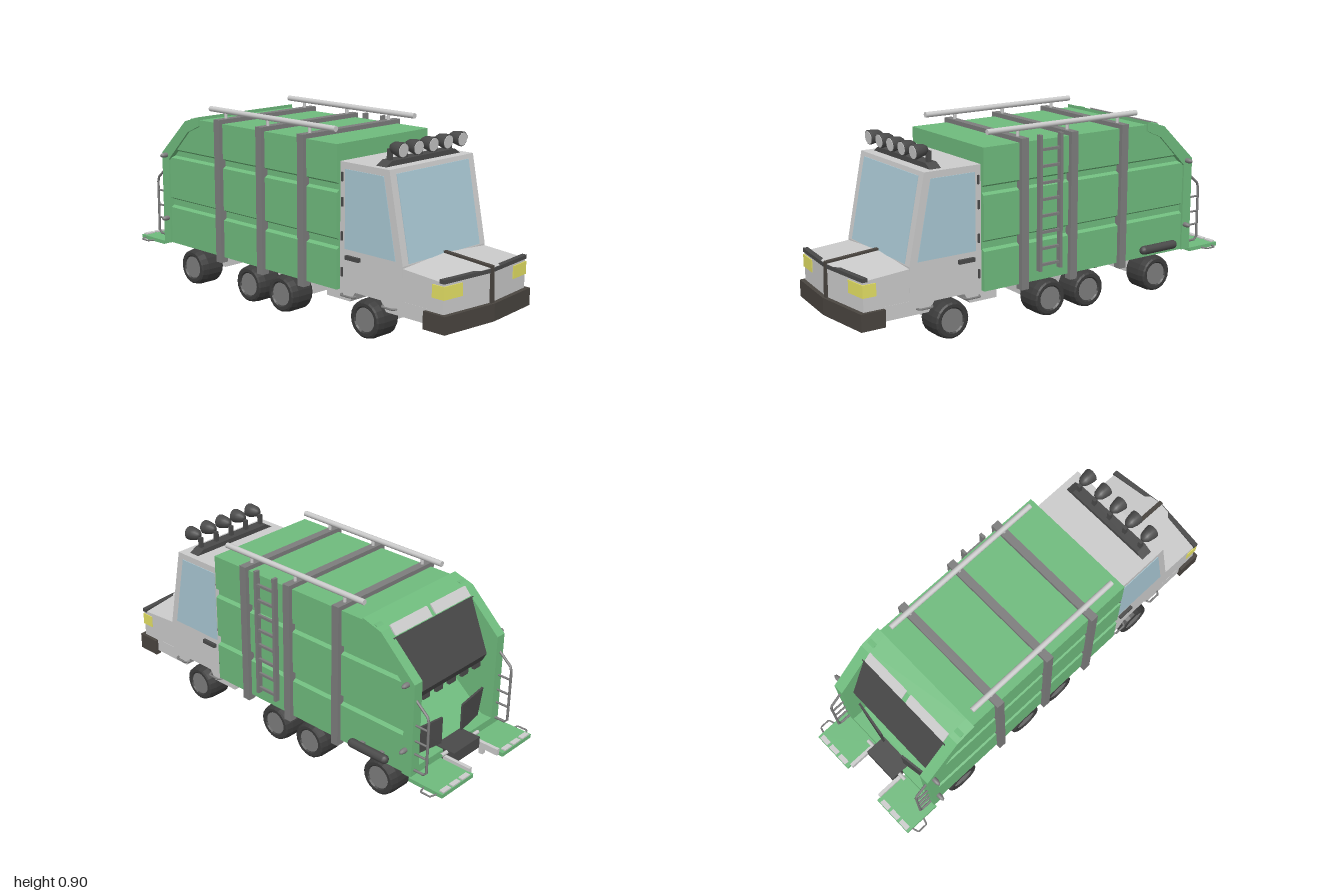
import * as THREE from 'three';

const mat = (color, extra = {}) => new THREE.MeshStandardMaterial({ color, ...extra });
const grey = mat(0xcccccc), green = mat(0x6fbb7d), steel = mat(0x7d7d7d), dark = mat(0x4a4a4a);
const bumperMat = mat(0x4a4540), rubber = mat(0x3c3c3c, { flatShading: true });
const yellow = mat(0xe6e265), glass = mat(0xa9c8d4), pale = mat(0xcccccc);

export function createModel() {
  const root = new THREE.Group();
  const truck = new THREE.Group();
  truck.name = 'garbageTruck';
  truck.position.x = -0.005;
  root.add(truck);

  const add = (name, geo, m) => {
    const mesh = new THREE.Mesh(geo, m);
    mesh.name = name;
    truck.add(mesh);
    return mesh;
  };
  // box given by its min and max on each axis
  const box = (name, m, x0, x1, y0, y1, z0, z1) => add(name,
    new THREE.BoxGeometry(Math.abs(x1 - x0), y1 - y0, z1 - z0)
      .translate((x0 + x1) / 2, (y0 + y1) / 2, (z0 + z1) / 2), m);
  const shape = pts => new THREE.Shape(pts.map(p => new THREE.Vector2(...p)));
  const extrude = (pts, depth) => new THREE.ExtrudeGeometry(shape(pts), { depth, bevelEnabled: false });
  // side profile of (z, y) points, swept from x0 to x1
  const side = (name, m, pts, x0, x1) => add(name,
    extrude(pts, Math.abs(x1 - x0)).rotateY(-Math.PI / 2).translate(Math.max(x0, x1), 0, 0), m);
  // plan of (x, z) points, raised from y0 to y1
  const plan = (pts, y0, y1) => extrude(pts.map(([x, z]) => [x, -z]), y1 - y0)
    .rotateX(-Math.PI / 2).translate(0, y0, 0);
  const rod = (name, m, r, pts) => {
    const path = new THREE.CurvePath();
    const v = pts.map(p => new THREE.Vector3(...p));
    for (let i = 1; i < v.length; i++) path.add(new THREE.LineCurve3(v[i - 1], v[i]));
    return add(name, new THREE.TubeGeometry(path, v.length > 2 ? 16 : 1, r, 8), m);
  };
  const both = fn => [1, -1].forEach(fn);

  // Container: grooved cross-section swept along z
  const flank = [[0.295, 0.19], [0.295, 0.37], [0.278, 0.38], [0.278, 0.41], [0.295, 0.42],
    [0.295, 0.62], [0.278, 0.63], [0.278, 0.655], [0.295, 0.665], [0.295, 0.83]];
  const mirrored = flank.map(([x, y]) => [-x, y]).reverse();
  add('containerBody', extrude([...flank, ...mirrored], 0.92).translate(0, 0, -0.55), green);

  // Rear side walls, their back edge cut along the slope
  both(s => {
    const g = extrude([...flank, [0.255, 0.83], [0.255, 0.62], [0.255, 0.19]].map(([x, y]) => [s * x, y]), 0.27);
    g.translate(0, 0, -0.82);
    const p = g.attributes.position;
    for (let i = 0; i < p.count; i++) {
      if (p.getZ(i) < -0.7 && p.getY(i) > 0.62) p.setZ(i, -0.82 + (p.getY(i) - 0.62) * 1.02);
    }
    g.computeVertexNormals();
    add('rearWall', g, green);
    side('rearFrame', green, [[-0.54, 0.845], [-0.64, 0.815], [-0.825, 0.64], [-0.825, 0.19],
      [-0.775, 0.19], [-0.775, 0.61], [-0.62, 0.765], [-0.54, 0.8]], s * 0.255, s * 0.305);
  });
  side('rearHeader', green, [[-0.54, 0.8], [-0.54, 0.845], [-0.64, 0.815], [-0.675, 0.78], [-0.64, 0.76]], -0.3, 0.3);
  side('hopperFloor', green, [[-0.54, 0.19], [-0.54, 0.42], [-0.77, 0.23], [-0.825, 0.23], [-0.825, 0.19]], -0.26, 0.26);
  side('packerBlade', dark, [[-0.66, 0.78], [-0.675, 0.785], [-0.775, 0.54], [-0.755, 0.53]], -0.265, 0.265);
  side('packerLip', dark, [[-0.775, 0.54], [-0.755, 0.53], [-0.74, 0.5], [-0.755, 0.5]], -0.265, 0.265);
  for (let i = 0; i < 6; i++) {
    const x = -0.22 + i * 0.088;
    box('packerTooth', dark, x - 0.022, x + 0.022, 0.475, 0.505, -0.755, -0.74);
  }
  both(s => {
    side('headerLamp', pale, [[-0.635, 0.825], [-0.642, 0.825], [-0.673, 0.79], [-0.66, 0.79]], s * 0.012, s * 0.25);
    // Swinging flaps of the hopper
    const flap = plan([[s * 0.07, -0.8], [s * 0.25, -0.775], [s * 0.25, -0.765], [s * 0.07, -0.79]], 0.24, 0.37);
    const p = flap.attributes.position;
    for (let i = 0; i < p.count; i++) {
      if (p.getY(i) < 0.3 && Math.abs(p.getX(i)) > 0.2) p.setX(i, s * 0.22);
    }
    flap.computeVertexNormals();
    add('hopperFlap', flap, dark);
  });

  // Rear lift, steps, grab ladders and marker lights
  box('liftBox', dark, -0.09, 0.09, 0.18, 0.235, -0.885, -0.78);
  rod('liftBar', pale, 0.009, [[-0.13, 0.225, -0.845], [0.13, 0.225, -0.845]]);
  both(s => {
    box('rearStep', green, s * 0.105, s * 0.315, 0.176, 0.194, -1, -0.82);
    box('stepBracket', pale, s * 0.09, s * 0.107, 0.18, 0.21, -0.98, -0.84);
    box('stepPeg', pale, s * 0.11, s * 0.13, 0.135, 0.18, -0.89, -0.87);
    for (let i = 0; i < 3; i++) {
      const x = 0.125 + i * 0.064;
      box('tailLamp', pale, s * x, s * (x + 0.05), 0.19, 0.2, -0.998, -0.975);
    }
    rod('stepHandle', steel, 0.004, [[s * 0.312, 0.182, -0.97], [s * 0.345, 0.182, -0.96],
      [s * 0.345, 0.182, -0.91], [s * 0.312, 0.182, -0.9]]);
    rod('grabRail', steel, 0.006, [[s * 0.285, 0.56, -0.82], [s * 0.285, 0.5, -0.89], [s * 0.285, 0.22, -0.89], [s * 0.285, 0.22, -0.82]]);
    for (const y of [0.3, 0.365, 0.44]) rod('grabRung', steel, 0.005, [[s * 0.285, y, -0.89], [s * 0.285, y, -0.82]]);
    for (const y of [0.315, 0.632]) {
      add('markerLight', new THREE.SphereGeometry(1, 10, 8).scale(0.03, 0.012, 0.012).translate(s * 0.315, y, -0.79), steel);
    }
  });

  // Straps round the container and the roof rails
  for (const z of [0.165, -0.105, -0.395]) {
    box('roofStrap', steel, -0.315, 0.315, 0.825, 0.85, z - 0.019, z + 0.019);
    both(s => {
      box('sideStrap', steel, s * 0.275, s * 0.315, 0.165, 0.85, z - 0.019, z + 0.019);
      rod('railPost', pale, 0.008, [[s * 0.255, 0.845, z], [s * 0.255, 0.885, z]]);
    });
  }
  both(s => add('roofRail', new THREE.CylinderGeometry(0.013, 0.013, 0.83, 12).rotateX(Math.PI / 2)
    .translate(s * 0.255, 0.885, -0.09), pale));

  // Side ladder and exhaust
  for (const z of [0.082, -0.03]) box('ladderRail', steel, 0.295, 0.32, 0.235, 0.855, z - 0.007, z + 0.007);
  for (let i = 0; i < 8; i++) box('ladderRung', steel, 0.303, 0.315, 0.257 + i * 0.075, 0.269 + i * 0.075, -0.03, 0.082);
  add('muffler', new THREE.CapsuleGeometry(0.021, 0.18, 4, 12).rotateX(Math.PI / 2).translate(0.328, 0.235, -0.605), dark);
  for (const z of [-0.55, -0.66]) box('mufflerBracket', steel, 0.29, 0.33, 0.225, 0.245, z - 0.01, z + 0.01);

  // Cab
  side('cab', grey, [[0.29, 0.145], [0.43, 0.145], [0.46, 0.19], [0.61, 0.19], [0.64, 0.145], [0.86, 0.145],
    [0.86, 0.21], [0.73, 0.21], [0.73, 0.36], [0.65, 0.755], [0.36, 0.755], [0.36, 0.185], [0.29, 0.185]], -0.273, 0.273);
  box('cabFloor', grey, -0.155, 0.155, 0.145, 0.2, 0.29, 0.86);
  side('windshield', glass, [[0.62, 0.735], [0.657, 0.735], [0.732, 0.365], [0.7, 0.365]], -0.235, 0.235);
  side('sideWindows', glass, [[0.4, 0.725], [0.4, 0.375], [0.69, 0.375], [0.62, 0.725]], -0.276, 0.276);
  both(s => {
    box('doorHandle', dark, s * 0.27, s * 0.288, 0.332, 0.35, 0.41, 0.49);
    for (const y of [0.69, 0.58, 0.43, 0.27]) box('doorHinge', dark, s * 0.27, s * 0.28, y - 0.02, y + 0.02, 0.38, 0.388);
    for (const z of [0.66, 0.42]) {
      rod('cabStep', steel, 0.005, [[s * 0.268, 0.17, z + 0.04], [s * 0.29, 0.17, z + 0.03],
        [s * 0.29, 0.17, z - 0.03], [s * 0.268, 0.17, z - 0.04]]);
    }
  });

  // Hood: two halves, each sloping away from the centre ridge
  const hoodTop = (x, z) => 0.335 + (0.965 - z) * 0.07 + 0.02 * (1 - Math.abs(x) / 0.27);
  both(s => {
    const g = plan([[0, 0.7], [s * 0.272, 0.7], [s * 0.272, 0.95], [0, 0.98]], 0.19, 0.34);
    const p = g.attributes.position;
    for (let i = 0; i < p.count; i++) if (p.getY(i) > 0.3) p.setY(i, hoodTop(p.getX(i), p.getZ(i)));
    g.computeVertexNormals();
    add('hood', g, grey);
    add('hoodLip', plan([[0, 0.96], [s * 0.277, 0.93], [s * 0.277, 0.954], [0, 0.984]], 0.333, 0.35), dark);
    add('headlight', plan([[s * 0.17, 0.89], [s * 0.276, 0.89], [s * 0.276, 0.954], [s * 0.17, 0.965]], 0.265, 0.322), yellow);
    // Bumper wraps round the corner
    add('bumper', plan([[0, 0.95], [s * 0.26, 0.92], [s * 0.26, 0.855], [s * 0.288, 0.855],
      [s * 0.288, 0.97], [0, 1]], 0.125, 0.203), bumperMat);
  });
  side('hoodStrip', bumperMat, [[0.72, 0.35], [0.72, 0.38], [0.985, 0.362], [0.99, 0.2], [0.96, 0.2], [0.96, 0.34]], -0.01, 0.01);

  // Roof lamps on a bar
  add('lampBar', extrude([[-0.245, 0.753], [0.245, 0.753], [0.205, 0.777], [-0.205, 0.777]], 0.055).translate(0, 0, 0.548), dark);
  const lampProfile = [[0, 0], [0.014, 0.003], [0.025, 0.018], [0.03, 0.04], [0.033, 0.06], [0.033, 0.07]]
    .map(p => new THREE.Vector2(...p));
  for (let i = -2; i <= 2; i++) {
    const x = i * 0.0965;
    box('lampStalk', dark, x - 0.009, x + 0.009, 0.77, 0.825, 0.57, 0.588);
    const lamp = new THREE.Group();
    lamp.name = 'roofLamp';
    const shell = new THREE.Mesh(new THREE.LatheGeometry(lampProfile, 16), dark);
    const lens = new THREE.Mesh(new THREE.CylinderGeometry(0.029, 0.029, 0.004, 16).translate(0, 0.07, 0), grey);
    const rim = new THREE.Mesh(new THREE.CylinderGeometry(0.033, 0.033, 0.004, 16).translate(0, 0.0675, 0), dark);
    lamp.add(shell, lens, rim);
    lamp.rotation.x = Math.PI / 2 + 0.1;
    lamp.position.set(x, 0.834, 0.585);
    truck.add(lamp);
  }

  // Wheels and axles
  const tyreProfile = [[0.05, -0.055], [0.06, -0.065], [0.078, -0.065], [0.088, -0.05], [0.088, 0.03],
    [0.082, 0.06], [0.074, 0.065], [0.06, 0.065], [0.05, 0.055]].map(p => new THREE.Vector2(...p));
  for (const z of [0.53, 0.005, -0.215, -0.63]) {
    both(s => {
      const place = g => g.rotateZ(-s * Math.PI / 2).translate(s * 0.225, 0.088, z);
      add('tyre', place(new THREE.LatheGeometry(tyreProfile, 20)), rubber);
      add('hub', place(new THREE.CylinderGeometry(0.056, 0.058, 0.118, 20)), steel);
    });
    add('axle', new THREE.CylinderGeometry(0.015, 0.015, 0.34, 10).rotateZ(Math.PI / 2).translate(0, 0.09, z), grey);
    box('axleHousing', grey, -0.107, 0.107, 0.06, 0.122, z - 0.035, z + 0.035);
    box('axleMount', grey, -0.06, 0.06, 0.11, 0.195, z - 0.02, z + 0.02);
  }
  return root;
}
